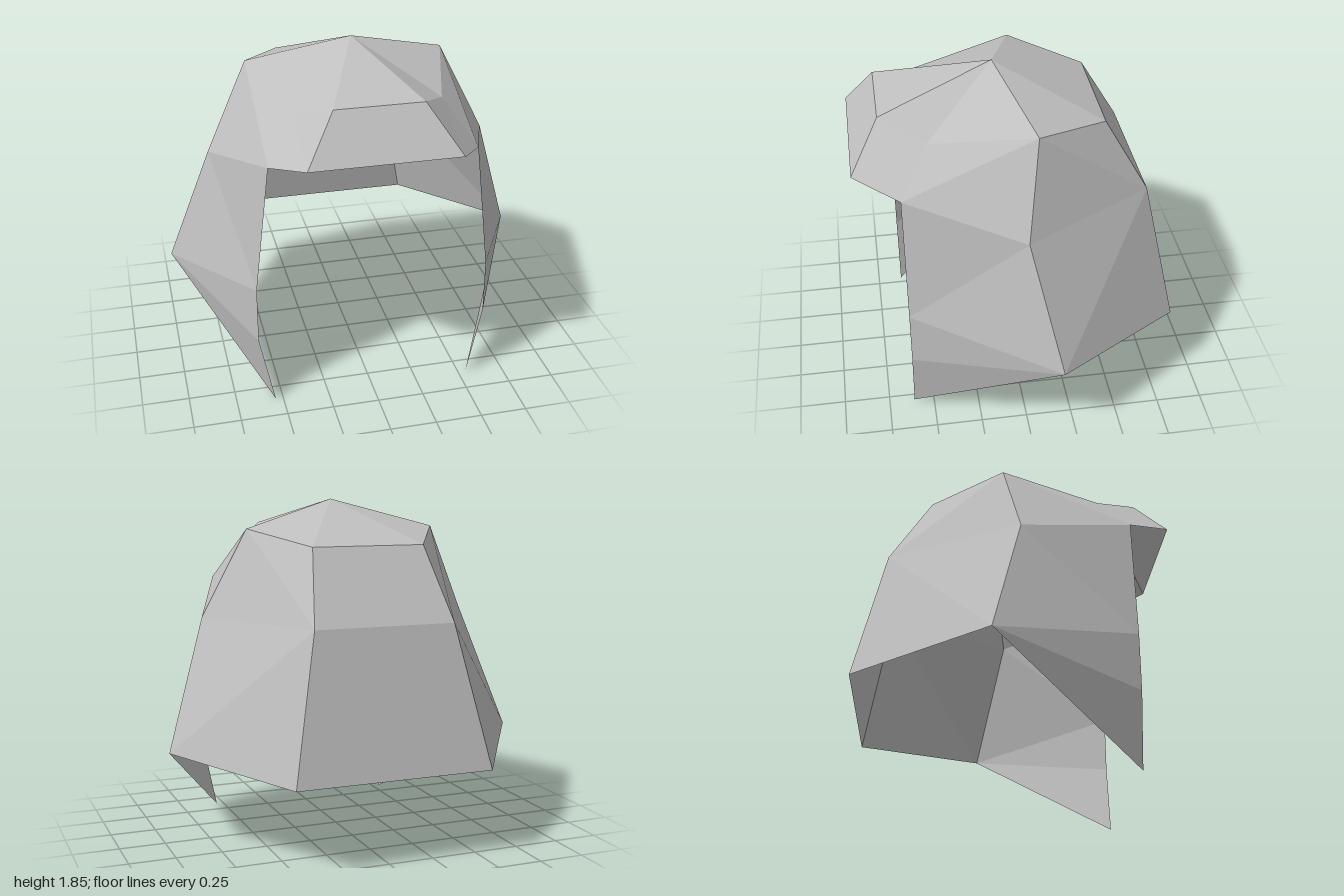
import * as THREE from 'three';

// Corner points of the left half; a lowercase letter means the mirrored point.
const POINTS = {
  A: [0, 1.85, 0.08],        // top of the head
  B: [0.54, 1.70, -0.08],    // crown side
  C: [0.23, 1.70, 0.69],     // fringe top
  D: [0.39, 1.46, 0.845],    // fringe tip
  E: [0.385, 1.62, 0.46],    // temple dip
  F: [0.54, 1.39, 0.61],     // temple
  G: [0.77, 1.23, 0],        // side middle
  H: [1, 0.54, -0.155],      // side bottom
  I: [0.62, 0.70, 0.61],     // front lock, upper
  J: [0.62, 0.39, 0.61],     // front lock, lower
  K: [0.54, 0, 0.61],        // front lock tip
  L: [0.31, 1.62, -0.465],   // back top
  M: [0.385, 1.23, -0.69],   // back middle
  N: [0.54, 0.47, -0.845],   // back bottom
};

const CENTRE = new THREE.Vector3(0, 0.9, 0);

function point(letter) {
  const upper = letter.toUpperCase();
  const [x, y, z] = POINTS[upper];
  return new THREE.Vector3(letter === upper ? x : -x, y, z);
}

const mirrorFace = (face) =>
  [...face].map((c) => (c === c.toUpperCase() ? c.toLowerCase() : c.toUpperCase())).join('');

// Facets become a faceted sheet, each one turned away from the head's centre.
function sheet(name, faces, material) {
  const corners = [];
  for (const face of faces) {
    const [a, b, c] = [...face].map(point);
    const normal = b.clone().sub(a).cross(c.clone().sub(a));
    const outward = a.clone().add(b).add(c).divideScalar(3).sub(CENTRE);
    corners.push(...(normal.dot(outward) > 0 ? [a, b, c] : [a, c, b]));
  }
  const geometry = new THREE.BufferGeometry().setFromPoints(corners);
  geometry.computeVertexNormals();
  const mesh = new THREE.Mesh(geometry, material);
  mesh.name = name;
  return mesh;
}

export function createModel() {
  const group = new THREE.Group();
  group.name = 'hair';
  const grey = new THREE.MeshStandardMaterial({
    name: 'hair grey', color: 0xc0c0c0, flatShading: true, side: THREE.DoubleSide,
  });

  // Parts across the middle
  group.add(sheet('crownMiddle', ['ACc', 'ALl'], grey));
  group.add(sheet('fringe', ['CDd', 'Cdc'], grey));
  group.add(sheet('backPanel', ['LMm', 'Lml', 'MNn', 'Mnm'], grey));

  // Parts on both sides
  const sideParts = {
    CrownSide: ['ACE', 'AEB', 'ABL'],
    Temple: ['CDE', 'DFE', 'EFB', 'BFG'],
    SideLock: ['FIG', 'GIH', 'IJH', 'JKH'],
    BackSide: ['BML', 'BGM', 'GHM', 'HNM'],
  };
  for (const [name, faces] of Object.entries(sideParts)) {
    group.add(sheet('left' + name, faces, grey));
    group.add(sheet('right' + name, faces.map(mirrorFace), grey));
  }
  return group;
}
